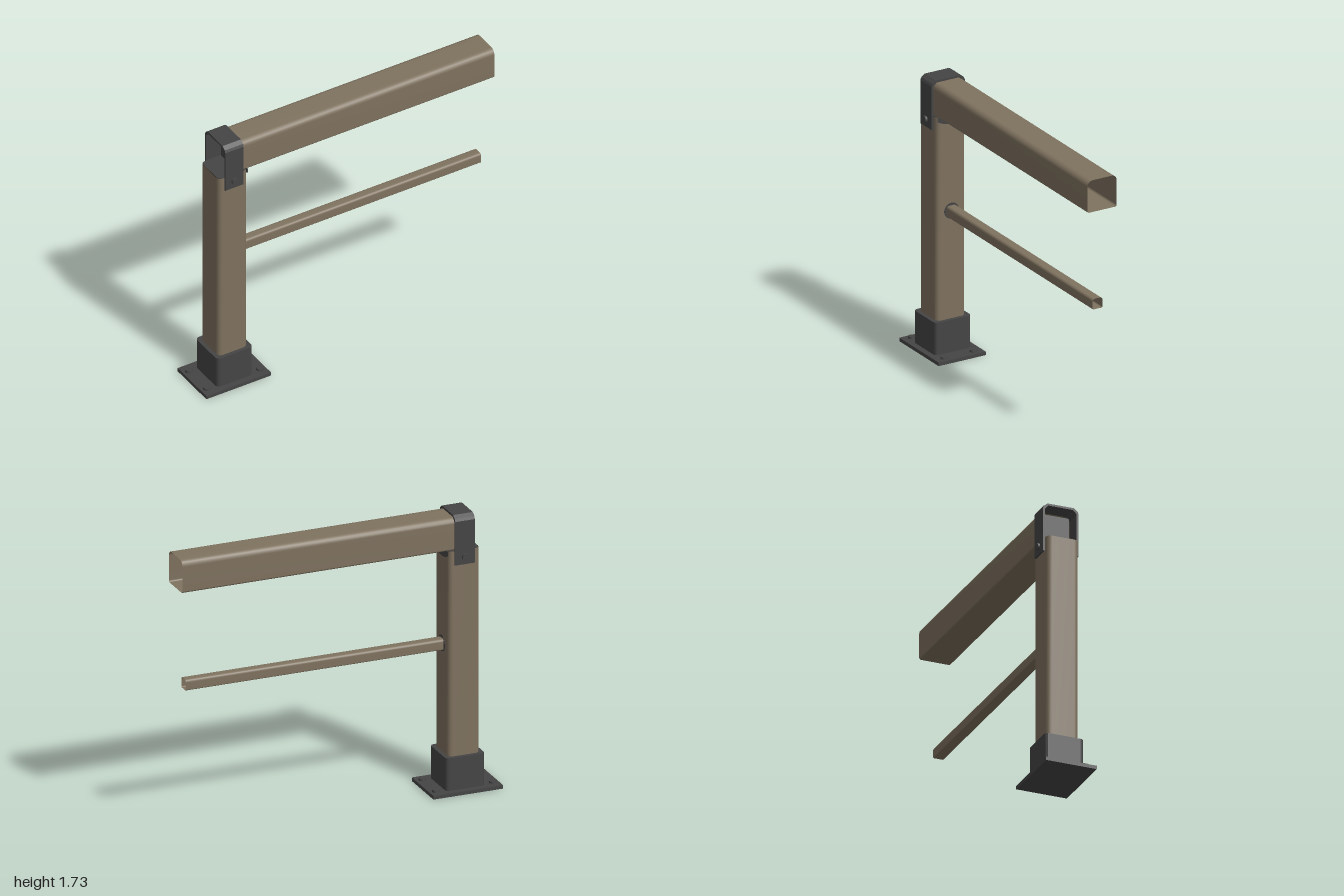
import * as THREE from 'three';

const timber = new THREE.MeshStandardMaterial({ color: 0x7f725f, side: THREE.DoubleSide });
timber.name = 'brown tube';
const metal = new THREE.MeshStandardMaterial({ color: 0x454545 });
metal.name = 'dark metal';

// Rounded rectangle loop; radii for the four corners starting at (+,+), counterclockwise
function roundedLoop(w, d, radii, steps = 4) {
  const points = [];
  [[1, 1], [-1, 1], [-1, -1], [1, -1]].forEach(([sx, sy], c) => {
    const r = radii[c];
    for (let i = 0; i <= steps; i++) {
      const a = (c + i / steps) * Math.PI / 2;
      points.push(new THREE.Vector2(
        sx * (w / 2 - r) + r * Math.cos(a),
        sy * (d / 2 - r) + r * Math.sin(a)));
    }
  });
  return points;
}

// Open thin-walled tube along y, smooth around its corners
function tube(loop, length) {
  const pos = [], index = [], n = loop.length;
  for (const y of [0, length]) for (const p of loop) pos.push(p.x, y, -p.y);
  for (let i = 0; i < n; i++) {
    const j = (i + 1) % n;
    index.push(i, j, n + j, i, n + j, n + i);
  }
  const g = new THREE.BufferGeometry();
  g.setAttribute('position', new THREE.Float32BufferAttribute(pos, 3));
  g.setIndex(index);
  g.computeVertexNormals();
  return g;
}

export function createModel() {
  const model = new THREE.Group();
  const postX = -0.78;

  function add(name, geometry, material, x, y, z) {
    const mesh = new THREE.Mesh(geometry, material);
    mesh.name = name;
    mesh.position.set(x, y, z);
    model.add(mesh);
    return mesh;
  }

  // Solid block from a loop in plan, rising along y
  function block(name, loop, height, x, y) {
    const g = new THREE.ExtrudeGeometry(new THREE.Shape(loop), { depth: height, bevelEnabled: false });
    g.rotateX(-Math.PI / 2);
    return add(name, g, metal, x, y, 0);
  }

  // Base plate, its bolts and the boot
  add('basePlate', new THREE.BoxGeometry(0.44, 0.022, 0.32), metal, postX, 0.011, 0);
  for (const sx of [-1, 1]) for (const sz of [-1, 1]) {
    add('baseBolt', new THREE.CylinderGeometry(0.02, 0.022, 0.014, 16), metal,
      postX + sx * 0.18, 0.028, sz * 0.1);
  }
  block('boot', roundedLoop(0.245, 0.245, [0.025, 0.025, 0.025, 0.025]), 0.205, postX, 0.02);

  // Post and its cap
  const postRadii = [0.03, 0.03, 0.03, 0.03];
  add('post', tube(roundedLoop(0.2, 0.2, postRadii), 1.3), timber, postX, 0.205, 0);
  block('postCap', roundedLoop(0.196, 0.196, postRadii), 0.012, postX, 1.495);

  // Saddle face curving down the post below the top rail
  const saddle = new THREE.Shape();
  saddle.moveTo(-0.095, 1.505);
  saddle.lineTo(-0.095, 1.478);
  saddle.quadraticCurveTo(0, 1.425, 0.095, 1.478);
  saddle.lineTo(0.095, 1.505);
  const saddleGeo = new THREE.ExtrudeGeometry(saddle, { depth: 0.004, bevelEnabled: false, curveSegments: 12 });
  saddleGeo.rotateY(Math.PI / 2);
  add('saddle', saddleGeo, metal, -0.682, 0, 0);

  // Top rail: rounder along its upper edges
  const topRail = add('topRail', tube(roundedLoop(0.2, 0.2, [0.012, 0.035, 0.035, 0.012]), 1.74),
    timber, -0.74, 1.61, 0);
  topRail.rotation.z = -Math.PI / 2;
  add('railEndPlate', new THREE.BoxGeometry(0.01, 0.19, 0.19), metal, -0.74, 1.605, 0);

  // Lower rail and the round socket behind it
  const lowerRail = add('lowerRail', tube(roundedLoop(0.066, 0.066, [0.006, 0.016, 0.016, 0.006]), 1.64),
    timber, -0.69, 0.903, 0);
  lowerRail.rotation.z = -Math.PI / 2;
  const socket = add('railSocket', new THREE.CylinderGeometry(0.05, 0.05, 0.006, 20), metal, -0.682, 0.903, 0);
  socket.rotation.z = -Math.PI / 2;

  // Strap bracket: an inverted U folded over the rail
  const outer = [[-0.113, 1.42], [0.113, 1.42], [0.113, 1.692], [0.106, 1.708], [0.082, 1.725],
    [-0.082, 1.725], [-0.106, 1.708], [-0.113, 1.692]];
  const inner = [[0.101, 1.42], [0.101, 1.688], [0.078, 1.712], [-0.078, 1.712], [-0.101, 1.688], [-0.101, 1.42]];
  const strap = new THREE.Shape([...outer.slice(1), outer[0], ...inner.slice().reverse()]
    .map(([a, b]) => new THREE.Vector2(a, b)));
  const strapGeo = new THREE.ExtrudeGeometry(strap, { depth: 0.125, bevelEnabled: false });
  strapGeo.rotateY(Math.PI / 2);
  add('strapBracket', strapGeo, metal, -0.842, 0, 0);

  // Strap bolts on both sides
  for (const side of [-1, 1]) {
    const bolt = add('strapBolt', new THREE.CylinderGeometry(0.021, 0.021, 0.016, 16), metal,
      postX, 1.468, side * 0.119);
    bolt.rotation.x = Math.PI / 2;
  }
  return model;
}
